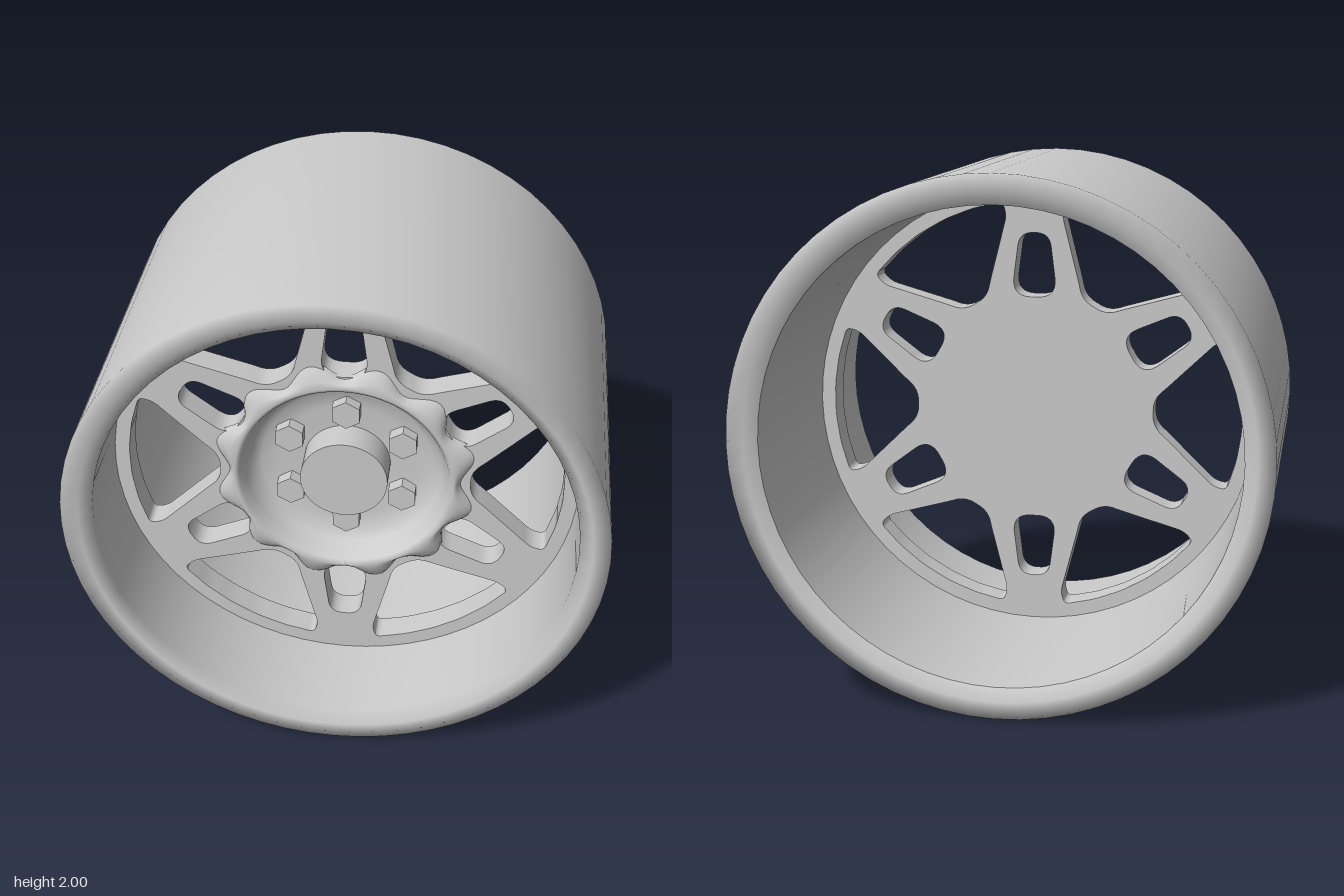
import * as THREE from 'three';

const material = new THREE.MeshStandardMaterial({ color: 0xcccccc });
const BACK = 0.145, FRONT = 0.25;

function addMesh(parent, name, geometry) {
  const mesh = new THREE.Mesh(geometry, material);
  mesh.name = name;
  parent.add(mesh);
  return mesh;
}

// Lathe turned so that its axis runs along z; points are [radius, z]
function turned(points, segments) {
  const geometry = new THREE.LatheGeometry(points.map(([r, z]) => new THREE.Vector2(r, z)), segments);
  return geometry.rotateX(Math.PI / 2);
}

// Closed outline with softened corners; corners are [x, y, rounding distance]
function roundedPath(corners, angle) {
  const pts = corners.map(([x, y]) => new THREE.Vector2(x, y).rotateAround(new THREE.Vector2(), angle));
  const path = new THREE.Path();
  pts.forEach((p, i) => {
    const prev = pts[(i + pts.length - 1) % pts.length];
    const next = pts[(i + 1) % pts.length];
    const d = corners[i][2];
    const a = p.clone().add(prev.clone().sub(p).setLength(d));
    const b = p.clone().add(next.clone().sub(p).setLength(d));
    if (i === 0) path.moveTo(a.x, a.y);
    else path.lineTo(a.x, a.y);
    path.quadraticCurveTo(p.x, p.y, b.x, b.y);
  });
  path.closePath();
  return path;
}

// Flat disc pierced by six large windows and six slots, leaving paired spokes
function spokeGeometry() {
  const shape = new THREE.Shape();
  shape.absarc(0, 0, 0.89, 0, Math.PI * 2);
  const centre = new THREE.Path();
  centre.absarc(0, 0, 0.42, 0, Math.PI * 2, true);
  shape.holes.push(centre);

  const rim = [-0.365, -0.22, -0.075, 0.075, 0.22, 0.365].map((a, i) =>
    [0.833 * Math.cos(a), 0.833 * Math.sin(a), i === 0 || i === 5 ? 0.045 : 0.03]);
  const windowCorners = [
    [0.48, 0.055, 0.045], [0.53, 0.1, 0.03], [0.735, 0.3, 0.045],
    ...rim.reverse(),
    [0.735, -0.3, 0.045], [0.53, -0.1, 0.03], [0.48, -0.055, 0.045],
  ];
  windowCorners[3][2] = windowCorners[8][2] = 0.02;
  const slotCorners = [
    [0.45, 0.092, 0.08], [0.705, 0.06, 0.055], [0.705, -0.06, 0.055], [0.45, -0.092, 0.08],
  ];
  for (let i = 0; i < 6; i++) {
    const angle = i * Math.PI / 3;
    shape.holes.push(roundedPath(windowCorners, angle));
    shape.holes.push(roundedPath(slotCorners, angle + Math.PI / 6));
  }
  const geometry = new THREE.ExtrudeGeometry(shape, {
    depth: FRONT - BACK, bevelEnabled: false, curveSegments: 24,
  });
  return geometry.translate(0, 0, BACK);
}

// Raised hub ring whose foot flares onto each spoke, with a dished floor
function hubGeometry() {
  const geometry = turned([
    [0.48, 0.235], [0.47, 0.255], [0.44, 0.277], [0.418, 0.285], [0.402, 0.275],
    [0.385, 0.235], [0.365, 0.195], [0.33, 0.17], [0.26, 0.158], [0, 0.155],
  ], 144);
  const pos = geometry.attributes.position;
  for (let i = 0; i < pos.count; i++) {
    const x = pos.getX(i), y = pos.getY(i), r = Math.hypot(x, y);
    if (r < 0.425) continue;
    const flare = (r - 0.42) / 0.06;
    const k = 1 - 0.075 * flare * Math.cos(12 * Math.atan2(y, x));
    pos.setXY(i, x * k, y * k);
  }
  geometry.computeVertexNormals();
  return geometry;
}

export function createModel() {
  const model = new THREE.Group();
  model.name = 'wheelRim';
  const wheel = new THREE.Group();
  wheel.name = 'wheel';
  wheel.position.y = 1;
  model.add(wheel);

  // Barrel with soft lips front and back
  addMesh(wheel, 'barrel', turned([
    [0.888, -0.62], [0.935, -0.65], [1, -0.65], [1, 0.65],
    [0.935, 0.65], [0.888, 0.615], [0.888, -0.62],
  ], 64));

  addMesh(wheel, 'spokes', spokeGeometry());
  addMesh(wheel, 'hub', hubGeometry());

  // Plate closing the back of the hub
  const plate = new THREE.CylinderGeometry(0.421, 0.421, 0.008, 48).rotateX(Math.PI / 2);
  addMesh(wheel, 'hubBackPlate', plate).position.z = BACK + 0.004;

  // Centre cap
  const cap = new THREE.CylinderGeometry(0.167, 0.167, 0.13, 48).rotateX(Math.PI / 2);
  addMesh(wheel, 'centreCap', cap).position.z = 0.218;

  // Six hexagonal wheel nuts, points up
  const nut = new THREE.CylinderGeometry(0.06, 0.06, 0.06, 6).toNonIndexed().rotateX(Math.PI / 2);
  nut.computeVertexNormals();
  for (let i = 0; i < 6; i++) {
    const a = Math.PI / 6 + i * Math.PI / 3;
    addMesh(wheel, 'wheelNut', nut).position.set(0.25 * Math.cos(a), 0.25 * Math.sin(a), 0.18);
  }
  return model;
}
